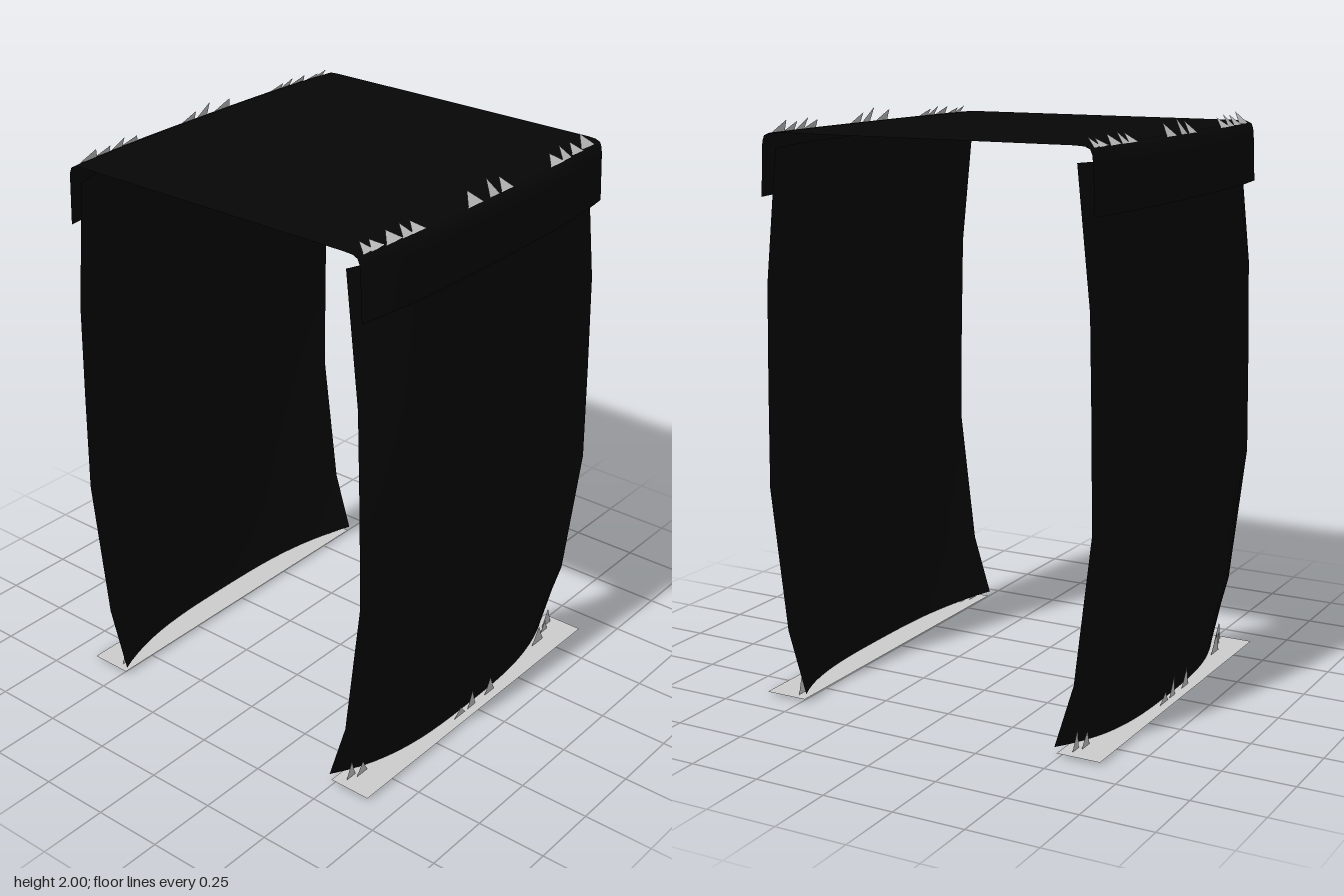
import * as THREE from 'three';

const HALF = 0.645; // half depth along z
const dark = new THREE.MeshStandardMaterial({ color: 0x060606, side: THREE.DoubleSide });
const grey = new THREE.MeshStandardMaterial({ color: 0xcccccc, side: THREE.DoubleSide });

// 0 at mid depth, 1 at the two open ends
const bow = (z) => Math.pow(Math.abs(z) / HALF, 3);

// Sheet swept along z: every profile row is [y, x at mid depth, x at ends, y drop at mid depth]
function sheet(name, rows, segments = 24) {
  const pos = [], index = [], n = segments + 1;
  rows.forEach(([y, mid, end, drop = 0]) => {
    for (let j = 0; j <= segments; j++) {
      const z = -HALF + (2 * HALF * j) / segments;
      const t = bow(z);
      pos.push(mid + (end - mid) * t, y - drop * (1 - t), z);
    }
  });
  for (let i = 0; i < rows.length - 1; i++) {
    for (let j = 0; j < segments; j++) {
      const a = i * n + j, b = a + n;
      index.push(a, b, a + 1, a + 1, b, b + 1);
    }
  }
  const g = new THREE.BufferGeometry();
  g.setAttribute('position', new THREE.Float32BufferAttribute(pos, 3));
  g.setIndex(index);
  g.computeVertexNormals();
  const mesh = new THREE.Mesh(g, dark);
  mesh.name = name;
  return mesh;
}

// Row of thin leaning triangles: peaks are [z, height of tip]
function tufts(name, peaks, baseY, baseMid, baseEnd, lean) {
  const pos = [];
  peaks.forEach(([z, tip], i) => {
    const x = baseMid + (baseEnd - baseMid) * bow(z);
    const w = 0.026 + 0.007 * (i % 3);
    pos.push(x, baseY, Math.min(z + w, HALF), x, baseY, Math.max(z - w, -HALF), x + lean, tip, z + 0.01);
  });
  const g = new THREE.BufferGeometry();
  g.setAttribute('position', new THREE.Float32BufferAttribute(pos, 3));
  g.computeVertexNormals();
  const mesh = new THREE.Mesh(g, grey);
  mesh.name = name;
  return mesh;
}

// One side: wall, overhanging skirt, ground strip and tufts
function createSide(name) {
  const side = new THREE.Group();
  side.name = name;

  side.add(sheet('wall', [
    [1.9, 0.635, 0.55], [1.45, 0.643, 0.597], [1.1, 0.645, 0.605], [0.75, 0.643, 0.61],
    [0.25, 0.625, 0.55], [0.03, 0.595, 0.482, 0.02],
  ]));

  // rounded roof edge running down into the skirt
  side.add(sheet('roofSkirt', [
    [1.952, 0.56, 0.54], [1.95, 0.595, 0.575], [1.942, 0.62, 0.593],
    [1.925, 0.634, 0.6], [1.9, 0.64, 0.603], [1.74, 0.645, 0.61],
  ]));

  const strip = new THREE.Mesh(new THREE.PlaneGeometry(0.155, HALF * 2).rotateX(-Math.PI / 2), grey);
  strip.name = 'groundStrip';
  strip.position.set(0.5675, 0.01, 0);
  side.add(strip);

  side.add(tufts('roofTufts', [
    [0.59, 1.975], [0.55, 1.97], [0.48, 1.978], [0.42, 1.982], [0.37, 1.975],
    [0.09, 1.988], [-0.01, 2], [-0.08, 1.985],
    [-0.37, 1.978], [-0.43, 1.988], [-0.5, 1.98], [-0.57, 1.988],
  ], 1.945, 0.612, 0.585, -0.03));

  side.add(tufts('groundTufts', [
    [0.59, 0.085], [0.55, 0.07], [0.08, 0.055], [0.01, 0.09], [-0.1, 0.085],
    [-0.47, 0.09], [-0.55, 0.065], [-0.59, 0.09],
  ], 0, 0.612, 0.505, 0.012));
  return side;
}

export function createModel() {
  const model = new THREE.Group();
  model.name = 'openShelter';

  // flat thin roof between the rounded edges
  const roof = sheet('roof', [
    [1.952, 0.56, 0.54], [1.952, 0.3, 0.3], [1.952, -0.3, -0.3], [1.952, -0.56, -0.54],
  ]);
  model.add(roof);

  // the two sides are the same part turned half way round
  const left = createSide('leftSide');
  const right = createSide('rightSide');
  right.rotation.y = Math.PI;
  model.add(left, right);
  return model;
}
